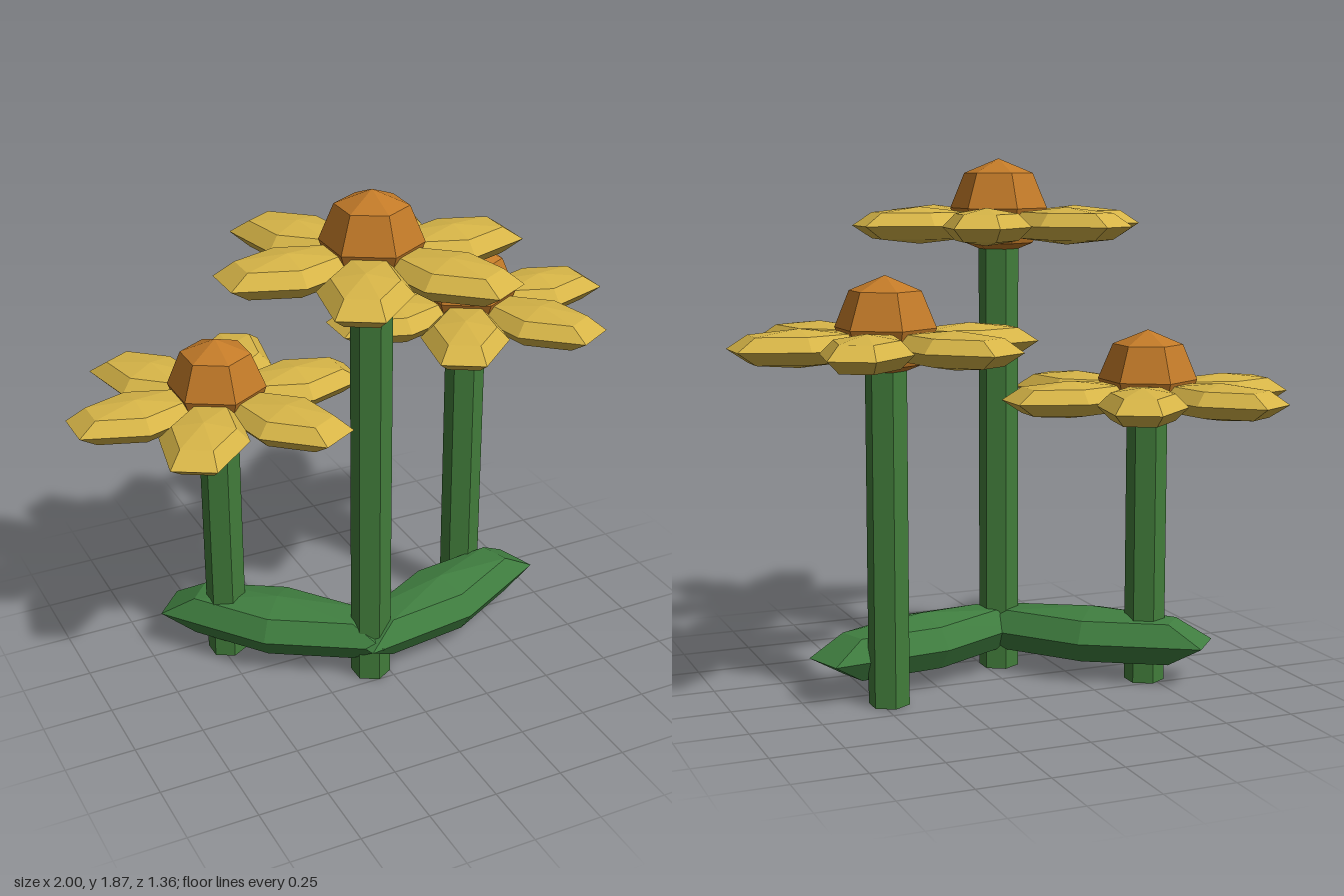
import * as THREE from 'three';

function material(name, color) {
  const m = new THREE.MeshStandardMaterial({ color, flatShading: true });
  m.name = name;
  return m;
}

export function createModel() {
  const petalYellow = material('petalYellow', 0xd6b447);
  const centreOrange = material('centreOrange', 0xc27a28);
  const stemGreen = material('stemGreen', 0x417c3a);
  const leafGreen = material('leafGreen', 0x3f7d3f);

  // Six-sided low-poly ball with corners on the z axis, stretched into petals, leaves and centres
  const ball = new THREE.SphereGeometry(1, 6, 4).rotateY(Math.PI / 2);
  const blob = (name, mat, sx, sy, sz) => {
    const m = new THREE.Mesh(ball, mat);
    m.name = name;
    m.scale.set(sx, sy, sz);
    return m;
  };

  const model = new THREE.Group();
  model.name = 'flowers';

  // Flowers: position and height of the centre
  const flowers = [
    ['tallFlower', -0.06, 0.18, 1.69],
    ['shortFlower', -0.477, -0.19, 1.095],
    ['middleFlower', 0.472, -0.12, 1.305],
  ];
  for (const [name, x, z, h] of flowers) {
    const flower = new THREE.Group();
    flower.name = name;
    flower.position.set(x, 0, z);

    const stem = new THREE.Mesh(new THREE.CylinderGeometry(0.072, 0.072, h - 0.08, 6), stemGreen);
    stem.name = 'stem';
    stem.position.y = (h - 0.08) / 2;
    flower.add(stem);

    const centre = blob('centre', centreOrange, 0.175, 0.175, 0.175);
    centre.position.y = h;
    flower.add(centre);

    // Ring of six petals
    for (let i = 0; i < 6; i++) {
      const a = (i * Math.PI) / 3;
      const petal = blob('petal', petalYellow, 0.26, 0.065, 0.155);
      petal.position.set(0.3 * Math.cos(a), h - 0.058, -0.3 * Math.sin(a));
      petal.rotation.y = a;
      flower.add(petal);
    }
    model.add(flower);
  }

  // Two long leaves spreading back from the tall stem
  for (const [name, x, z, deg] of [['leftLeaf', 0.28, 0.08, 18], ['rightLeaf', -0.325, -0.06, -42]]) {
    const leaf = blob(name, leafGreen, 0.497, 0.105, 0.16);
    leaf.position.set(x, 0.15, z);
    leaf.rotation.y = THREE.MathUtils.degToRad(deg);
    model.add(leaf);
  }
  return model;
}
